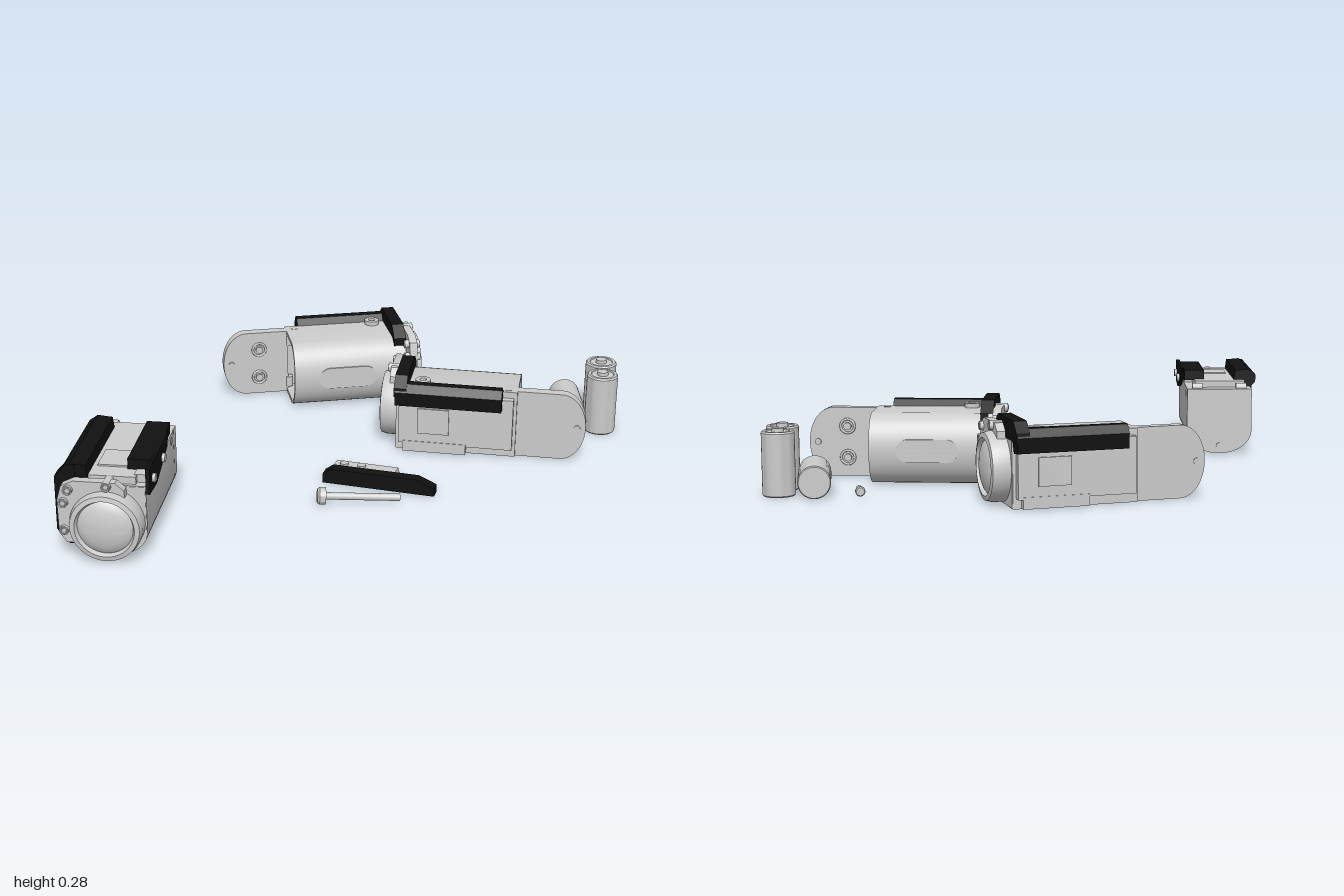
import * as THREE from 'three';
import { toCreasedNormals } from 'three/addons/utils/BufferGeometryUtils.js';

const grey = new THREE.MeshStandardMaterial({ color: 0xcccccc, side: THREE.DoubleSide });
const black = new THREE.MeshStandardMaterial({ color: 0x111111, side: THREE.DoubleSide });

function add(parent, name, geometry, material = grey, x = 0, y = 0, z = 0) {
  const mesh = new THREE.Mesh(geometry, material);
  mesh.name = name;
  mesh.position.set(x, y, z);
  parent.add(mesh);
  return mesh;
}
function group(parent, name, x = 0, y = 0, z = 0) {
  const g = new THREE.Group();
  g.name = name;
  g.position.set(x, y, z);
  parent.add(g);
  return g;
}
const box = (w, h, d) => new THREE.BoxGeometry(w, h, d);
const extrude = (shape, depth) =>
  toCreasedNormals(new THREE.ExtrudeGeometry(shape, { depth, bevelEnabled: false, curveSegments: 20 }), 0.6);
const polygon = (pts) => new THREE.Shape(pts.map(([x, y]) => new THREE.Vector2(x, y)));
// Cylinder and lathe running along z
const rod = (r, len, seg = 24) => new THREE.CylinderGeometry(r, r, len, seg).rotateX(Math.PI / 2);
const latheZ = (pts) =>
  toCreasedNormals(new THREE.LatheGeometry(pts.map(([r, z]) => new THREE.Vector2(r, z)), 40).rotateX(Math.PI / 2), 0.6);

// Housing section: straight sides, clipped top corners, bowed bottom; t is the inset
function section(t = 0, path = new THREE.Shape()) {
  const w = 0.11 - t, top = 0.242 - t;
  path.moveTo(w, 0.07);
  path.lineTo(w, top - 0.02);
  path.lineTo(-w + 0.0, top - 0.02);
  path.lineTo(-w, 0.07);
  path.bezierCurveTo(-w + 0.02, -0.023 + t, w - 0.02, -0.023 + t, w, 0.07);
  return path;
}

// Battery door, hinged at its own origin, with two spring contacts inside
function buildDoor(parent, open) {
  const door = group(parent, 'batteryDoor', 0, open ? 0.175 : 0.222, open ? 0.005 : 0);
  add(door, 'doorPlate', extrude(section(), 0.034), grey, 0, -0.222, -0.036);
  for (const s of [-1, 1]) {
    add(door, 'contactRing', new THREE.TorusGeometry(0.022, 0.004, 8, 24), grey, s * 0.05, -0.1, 0);
    add(door, 'contact', rod(0.012, 0.012), grey, s * 0.05, -0.1, 0.002);
    const knuckle = add(door, 'hingeKnuckle', rod(0.014, 0.035, 16), grey, s * 0.075, 0.004, -0.012);
    knuckle.rotation.y = Math.PI / 2;
  }
  add(door, 'latchPin', rod(0.01, 0.042, 16), grey, 0, -0.195, -0.018);
  if (open) door.rotation.x = Math.PI / 2;
}

// Lens bezel with a corner lug carrying screws, centred on the lens axis
function buildBezel(parent, turn) {
  const bezel = group(parent, 'bezel', 0, 0.11, 0.38);
  bezel.rotation.z = turn;
  add(bezel, 'bezelRing', latheZ([[0.105, 0], [0.105, 0.035], [0.1, 0.055], [0.086, 0.058], [0.08, 0.045], [0, 0.045]]));
  add(bezel, 'lens', latheZ([[0.08, 0.045], [0.073, 0.051], [0.055, 0.058], [0.03, 0.064], [0.0001, 0.066]]));
  const lug = polygon([[-0.02, -0.06], [-0.115, -0.06], [-0.136, -0.03], [-0.138, 0.07], [-0.125, 0.115],
    [-0.09, 0.132], [0.03, 0.132], [0.055, 0.11], [0.06, 0.02]]);
  add(bezel, 'cornerLug', extrude(lug, 0.026), grey, 0, 0, 0.005);
  for (const [x, y] of [[-0.105, 0.105], [-0.12, 0.065], [-0.12, -0.02], [0.005, 0.122]]) {
    add(bezel, 'bezelScrew', rod(0.014, 0.05, 20), grey, x, y, 0.016);
    add(bezel, 'screwRecess', new THREE.TorusGeometry(0.009, 0.002, 6, 18), grey, x, y, 0.041);
  }
}

// Removable jaw: top rail and wedge-shaped side plate with screw heads
function buildClampJaw(parent) {
  const jaw = group(parent, 'clampJaw');
  add(jaw, 'jawRail', box(0.068, 0.035, 0.26), black, 0.08, 0.258, 0.19);
  const plate = polygon([[-0.12, 0.275], [-0.38, 0.275], [-0.385, 0.2], [-0.29, 0.19], [-0.14, 0.235]]);
  add(jaw, 'jawSidePlate', extrude(plate, 0.012).rotateY(Math.PI / 2), black, 0.11, 0, 0);
  for (const z of [0.21, 0.34]) {
    add(jaw, 'jawScrew', new THREE.CylinderGeometry(0.013, 0.013, 0.018, 20).rotateZ(Math.PI / 2), grey, 0.122, 0.232, z);
  }
}

// One lamp: local z runs from the battery end to the lens, the mount is on top
function buildLamp(parent, name, { open, jaw, turn }) {
  const lamp = group(parent, name);
  const shell = section();
  shell.holes.push(section(0.012, new THREE.Path()));
  add(lamp, 'housing', extrude(shell, 0.38));
  add(lamp, 'frontWall', extrude(section(0.002), 0.02), grey, 0, 0, 0.362);
  const pad = new THREE.Shape().absarc(0, 0.06, 0.036, 0, Math.PI).absarc(0, -0.06, 0.036, Math.PI, 2 * Math.PI);
  add(lamp, 'gripPad', extrude(pad, 0.012).rotateX(Math.PI / 2), grey, 0, 0.0125, 0.18);
  buildDoor(lamp, open);
  buildBezel(lamp, turn);

  // Mount base with a square insert and a ledge for the removable jaw
  add(lamp, 'mountBase', box(0.17, 0.024, 0.36), grey, -0.005, 0.232, 0.19);
  add(lamp, 'mountInsert', box(0.085, 0.006, 0.1), grey, 0, 0.246, 0.26);
  add(lamp, 'jawLedge', box(0.035, 0.026, 0.2), grey, 0.09, 0.233, 0.255);

  // Fixed jaw: slanted rail along the top edge and a chamfered band down the side at the front
  const rail = polygon([[-0.055, 0.236], [-0.06, 0.276], [-0.105, 0.28], [-0.13, 0.262], [-0.13, 0.236], [-0.107, 0.215]]);
  add(lamp, 'fixedJaw', extrude(rail, 0.335), black, 0, 0, 0.045);
  const band = polygon([[-0.09, 0.278], [-0.118, 0.276], [-0.15, 0.24], [-0.15, 0.075], [-0.115, 0.032], [-0.09, 0.032]]);
  add(lamp, 'sideBand', extrude(band, 0.04), black, 0, 0, 0.343);

  // Screw boss on the jaw side, and side screws at the rear
  const boss = add(lamp, 'screwBoss', latheZ([[0.011, 0], [0.011, 0.016], [0.024, 0.016], [0.024, 0]]), grey, -0.108, 0.2, 0.3);
  boss.rotation.y = -Math.PI / 2;
  for (const s of [-1, 1]) {
    const screw = add(lamp, 'rearScrew', rod(0.012, 0.012, 16), grey, s * 0.105, 0.2, 0.03);
    screw.rotation.y = Math.PI / 2;
  }
  if (jaw) buildClampJaw(lamp);
  return lamp;
}

// Lays a lamp on its side: front is its direction on the ground
function layOnSide(lamp, x, z, fx, fz) {
  const front = new THREE.Vector3(fx, 0, fz).normalize();
  const side = new THREE.Vector3(0, -1, 0);
  const up = new THREE.Vector3().crossVectors(front, side);
  lamp.setRotationFromMatrix(new THREE.Matrix4().makeBasis(side, up, front));
  lamp.position.set(x, 0.111, z);
}

// Battery standing on its local y axis
function buildBattery(parent, x, y, z) {
  const battery = group(parent, 'battery', x, y, z);
  const pts = [[0, 0], [0.047, 0], [0.05, 0.004], [0.05, 0.192], [0.046, 0.197], [0.037, 0.197],
    [0.035, 0.194], [0.018, 0.194], [0.017, 0.205], [0, 0.205]];
  const geo = new THREE.LatheGeometry(pts.map(([r, h]) => new THREE.Vector2(r, h)), 32);
  add(battery, 'batteryCell', toCreasedNormals(geo, 0.6));
  return battery;
}

// Screw with its head at the origin and shaft along +z
function buildScrew(parent, name, headR, headLen, shaftR, len) {
  const screw = group(parent, name);
  add(screw, 'screwHead', latheZ([[0, 0], [headR * 0.8, 0], [headR, headLen * 0.25], [headR, headLen], [0, headLen]]));
  add(screw, 'screwShaft', rod(shaftR, len - headLen), grey, 0, 0, (len + headLen) / 2);
  return screw;
}

export function createModel() {
  const model = new THREE.Group();
  model.name = 'lampSet';

  const assembled = buildLamp(model, 'assembledLamp', { open: false, jaw: true, turn: 0 });
  assembled.position.set(-0.628, 0, 0.083);
  assembled.rotation.y = -0.627;
  const rear = buildLamp(model, 'rearOpenLamp', { open: true, jaw: false, turn: Math.PI / 2 });
  layOnSide(rear, 0.08, -0.242, 0.947, 0.32);
  const front = buildLamp(model, 'frontOpenLamp', { open: true, jaw: false, turn: Math.PI / 2 });
  layOnSide(front, 0.663, 0.233, -0.774, -0.635);

  // Loose clamp lying on the ground
  const clamp = group(model, 'looseClamp', 0.037, 0, 0.383);
  clamp.rotation.y = -Math.PI / 4;
  const strip = polygon([[-0.175, 0], [0.175, 0], [0.175, 0.025], [0.12, 0.048], [-0.15, 0.048], [-0.175, 0.03]]);
  add(clamp, 'looseJaw', extrude(strip, 0.036), black, 0, 0, -0.018);
  const block = polygon([[-0.165, 0.004], [0.05, 0.004], [0.04, 0.036], [-0.155, 0.036]]);
  add(clamp, 'clampBlock', extrude(block, 0.06), grey, 0, 0, -0.076);
  for (const x of [-0.125, -0.07]) {
    add(clamp, 'clampHole', new THREE.CylinderGeometry(0.013, 0.013, 0.012, 18), grey, x, 0.036, -0.052);
  }

  // Loose screws
  const longScrew = buildScrew(model, 'longScrew', 0.026, 0.025, 0.011, 0.25);
  longScrew.position.set(-0.185, 0.028, 0.393);
  longScrew.rotation.set(0.06, 1.147, 0, 'YXZ');
  const smallScrew = buildScrew(model, 'smallScrew', 0.015, 0.012, 0.008, 0.07);
  smallScrew.position.set(0.765, 0.015, 0.105);
  smallScrew.rotation.y = -0.45;

  // Batteries: two upright, one on its side
  buildBattery(model, 0.948, 0, 0.273);
  buildBattery(model, 0.888, 0, 0.36);
  const lying = buildBattery(model, 0.895, 0.05, 0.15);
  lying.rotation.set(Math.PI / 2, -0.5, 0, 'YXZ');
  return model;
}
